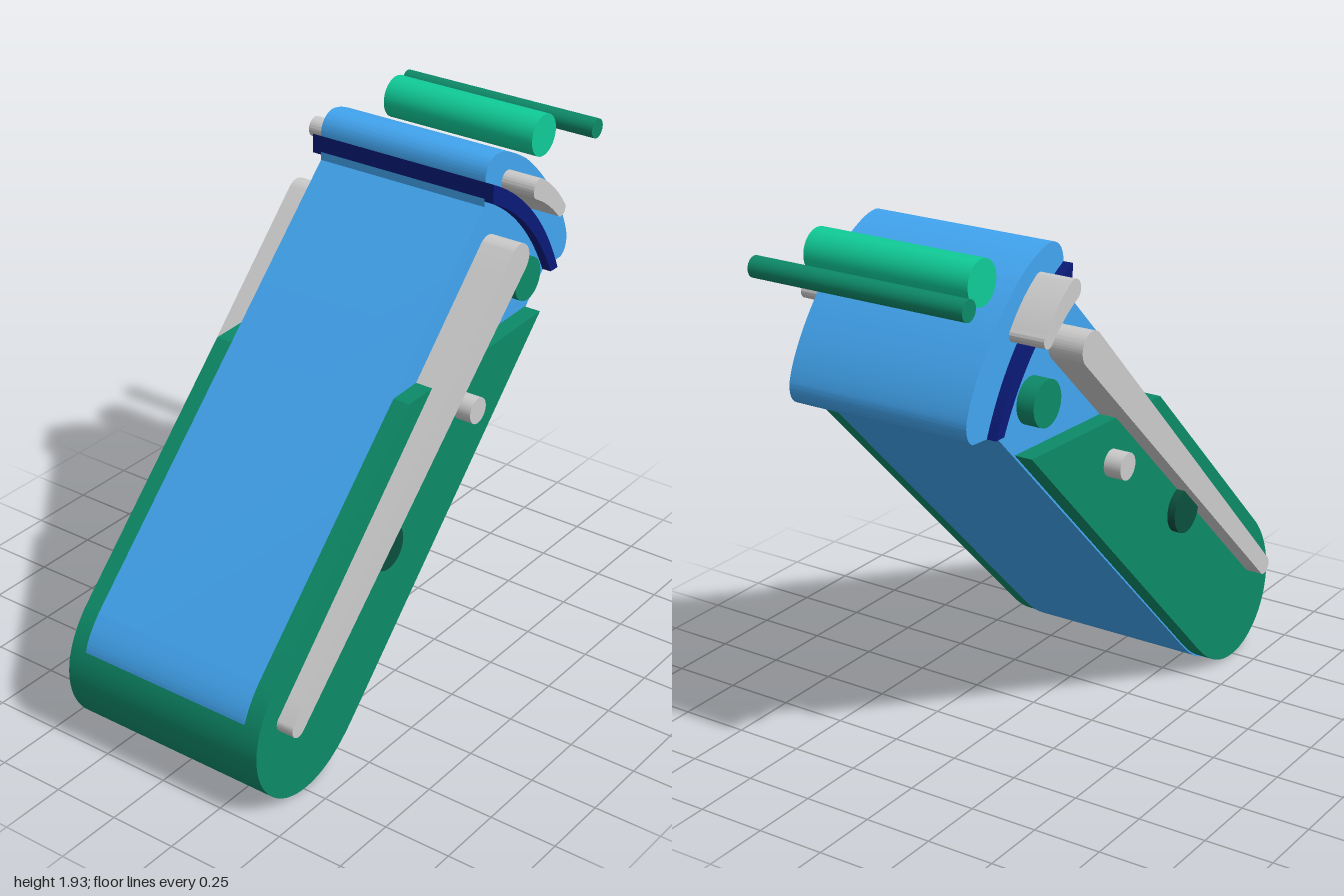
import * as THREE from 'three';
import { toCreasedNormals } from 'three/addons/utils/BufferGeometryUtils.js';

const BLUE = 0x42a5f0, GREEN = 0x0d8a68, NAVY = 0x0a1a78, GREY = 0xcccccc, DARK = 0x0b4f3c, MINT = 0x10cc98;

export function createModel() {
  const model = new THREE.Group();

  // Every part is a profile in the xy plane, extruded evenly to +/- half along z.
  function slab(name, shape, half, color) {
    const flat = new THREE.ExtrudeGeometry(shape, { depth: 2 * half, bevelEnabled: false, curveSegments: 20 });
    flat.translate(0, 0, -half);
    const mesh = new THREE.Mesh(toCreasedNormals(flat, 0.5), new THREE.MeshStandardMaterial({ color }));
    mesh.name = name;
    model.add(mesh);
  }

  function pin(name, x, y, radius, half, color) {
    const geometry = new THREE.CylinderGeometry(radius, radius, 2 * half, 40).rotateX(Math.PI / 2);
    const mesh = new THREE.Mesh(geometry, new THREE.MeshStandardMaterial({ color }));
    mesh.position.set(x, y, 0);
    mesh.name = name;
    model.add(mesh);
  }

  // Capsule outline with different end radii and an optional outward bow.
  function taperedBar(ax, ay, ra, bx, by, rb, bow = 0) {
    const angle = Math.atan2(by - ay, bx - ax);
    const nx = -Math.sin(angle), ny = Math.cos(angle);
    const mx = (ax + bx) / 2 + nx * bow, my = (ay + by) / 2 + ny * bow, rm = (ra + rb) / 2;
    const shape = new THREE.Shape();
    shape.absarc(ax, ay, ra, angle + Math.PI / 2, angle + 1.5 * Math.PI, false);
    shape.quadraticCurveTo(mx - nx * rm, my - ny * rm, bx - nx * rb, by - ny * rb);
    shape.absarc(bx, by, rb, angle - Math.PI / 2, angle + Math.PI / 2, false);
    shape.quadraticCurveTo(mx + nx * rm, my + ny * rm, ax + nx * ra, ay + ny * ra);
    return shape;
  }

  // Long slanted body, a hair proud of the casing along its straight sides
  const body = new THREE.Shape();
  body.moveTo(0.35, 1.73);
  body.lineTo(-0.903, 0.494);
  body.bezierCurveTo(-0.95, 0.44, -0.975, 0.4, -0.98, 0.36);
  body.bezierCurveTo(-0.98, 0.14, -0.87, 0.01, -0.745, 0);
  body.bezierCurveTo(-0.645, -0.002, -0.565, 0.036, -0.476, 0.126);
  body.lineTo(0.75, 1.36);
  body.quadraticCurveTo(0.62, 1.64, 0.35, 1.76);
  slab('body', body, 0.345, BLUE);

  // Wider casing around the lower half, with a rounded foot
  const casing = new THREE.Shape();
  casing.moveTo(-0.165, 1.22);
  casing.lineTo(-0.9, 0.49);
  casing.bezierCurveTo(-0.965, 0.42, -1, 0.34, -1, 0.26);
  casing.bezierCurveTo(-1, 0.115, -0.885, 0, -0.745, 0);
  casing.bezierCurveTo(-0.65, 0, -0.57, 0.04, -0.48, 0.13);
  casing.lineTo(0.63, 1.25);
  slab('casing', casing, 0.41, GREEN);

  // Curved band under the cap
  const band = new THREE.Shape();
  band.moveTo(0.35, 1.82);
  band.lineTo(0.35, 1.75);
  band.quadraticCurveTo(0.6, 1.63, 0.74, 1.355);
  band.lineTo(0.785, 1.355);
  band.quadraticCurveTo(0.65, 1.67, 0.35, 1.82);
  slab('band', band, 0.38, NAVY);

  // Rounded cap
  const cap = new THREE.Shape();
  cap.moveTo(0.35, 1.82);
  cap.quadraticCurveTo(0.65, 1.67, 0.785, 1.355);
  cap.lineTo(0.86, 1.36);
  cap.bezierCurveTo(0.885, 1.37, 0.9, 1.4, 0.893, 1.44);
  cap.bezierCurveTo(0.86, 1.57, 0.71, 1.745, 0.6, 1.825);
  cap.bezierCurveTo(0.53, 1.87, 0.46, 1.905, 0.41, 1.9);
  cap.bezierCurveTo(0.37, 1.89, 0.35, 1.86, 0.35, 1.82);
  slab('cap', cap, 0.345, BLUE);

  // Raised side bars
  slab('sideArm', taperedBar(-0.858, 0.342, 0.034, 0.378, 1.558, 0.06), 0.475, GREY);
  slab('capBar', taperedBar(0.487, 1.782, 0.037, 0.634, 1.657, 0.026, 0.018), 0.475, GREY);

  // Pins showing on both sides
  pin('upperPin', 0.54, 1.41, 0.08, 0.41, GREEN);
  pin('smallPin', 0.15, 1.08, 0.048, 0.475, GREY);
  pin('lowerPin', -0.315, 0.75, 0.083, 0.44, DARK);

  // Loose rods beside the cap
  pin('thickRod', 0.76, 1.85, 0.077, 0.315, MINT);
  pin('thinRod', 0.963, 1.832, 0.036, 0.408, GREEN);

  return model;
}
